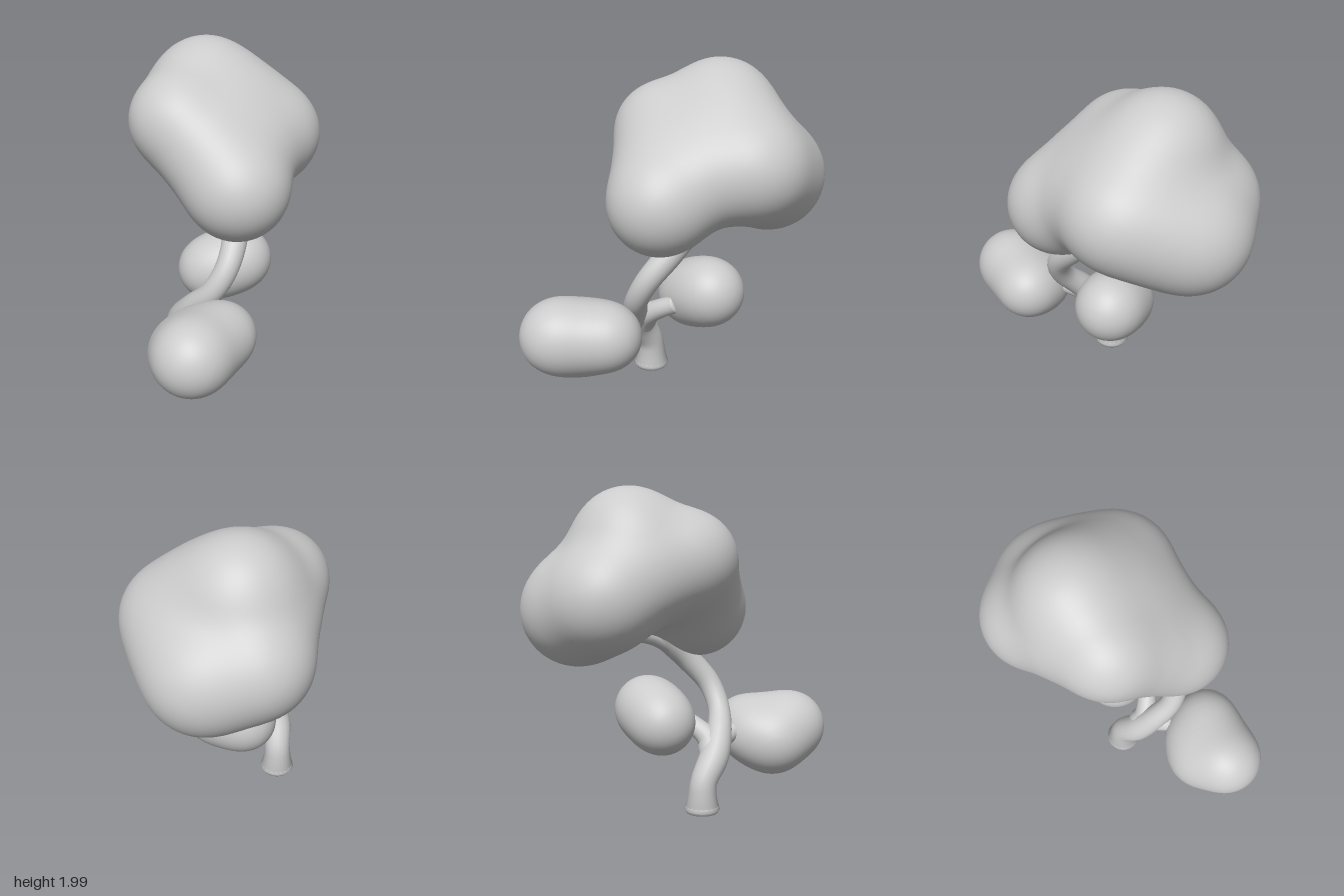
import * as THREE from 'three';
import { mergeVertices } from 'three/addons/utils/BufferGeometryUtils.js';

const material = new THREE.MeshStandardMaterial({ color: 0xcccccc });

// Foliage: a ball shrink-wrapped from outside onto a soft union of lobes [x, y, z, r]
function foliage(name, lobes, centre, softness) {
  let geo = new THREE.IcosahedronGeometry(1, 24);
  geo.deleteAttribute('uv');
  geo.deleteAttribute('normal');
  geo = mergeVertices(geo, 1e-4);
  const c = new THREE.Vector3(...centre);
  const distance = (p) => {
    let sum = 0;
    for (const [x, y, z, r] of lobes) {
      sum += Math.exp(-softness * (Math.hypot(p.x - x, p.y - y, p.z - z) - r));
    }
    return -Math.log(sum) / softness;
  };
  const pos = geo.attributes.position;
  const dir = new THREE.Vector3();
  const p = new THREE.Vector3();
  for (let i = 0; i < pos.count; i++) {
    dir.fromBufferAttribute(pos, i).normalize();
    let t = 1.3;
    for (let s = 0; s < 80; s++) {
      const d = distance(p.copy(c).addScaledVector(dir, t));
      if (d < 0.0005) break;
      t = Math.max(0.02, t - d);
    }
    p.copy(c).addScaledVector(dir, t);
    pos.setXYZ(i, p.x, p.y, p.z);
  }
  geo.computeVertexNormals();
  const mesh = new THREE.Mesh(geo, material);
  mesh.name = name;
  return mesh;
}

// Branch: a tube through points [x, y, z, radius], closed by a flattened round end
function branch(name, points) {
  const group = new THREE.Group();
  group.name = name;
  const curve = new THREE.CatmullRomCurve3(points.map(([x, y, z]) => new THREE.Vector3(x, y, z)));
  // the radius follows its own curve, sampled at the same parameter
  const radii = new THREE.CatmullRomCurve3(points.map((q) => new THREE.Vector3(q[3], 0, 0)));
  const steps = 40, sides = 20;
  const geo = new THREE.TubeGeometry(curve, steps, 1, sides);
  const pos = geo.attributes.position;
  const v = new THREE.Vector3();
  for (let i = 0; i <= steps; i++) {
    const u = curve.getUtoTmapping(i / steps);
    const centre = curve.getPoint(u);
    const r = radii.getPoint(u).x;
    for (let j = 0; j <= sides; j++) {
      const k = i * (sides + 1) + j;
      v.fromBufferAttribute(pos, k).sub(centre).multiplyScalar(r).add(centre);
      pos.setXYZ(k, v.x, v.y, v.z);
    }
  }
  const tube = new THREE.Mesh(geo, material);
  tube.name = name + 'Tube';
  group.add(tube);

  const r = points[points.length - 1][3];
  const end = new THREE.Mesh(new THREE.SphereGeometry(r, 20, 12), material);
  end.name = name + 'End';
  end.scale.y = 0.4;
  end.quaternion.setFromUnitVectors(new THREE.Vector3(0, 1, 0), curve.getTangent(1));
  end.position.copy(curve.getPoint(1));
  group.add(end);
  return group;
}

export function createModel() {
  const model = new THREE.Group();
  model.name = 'tree';

  // Trunk bending forward, then sweeping back into the crown
  model.add(branch('trunk', [
    [-0.083, 0.035, 0.11, 0.11],
    [-0.085, 0.10, 0.11, 0.092],
    [-0.078, 0.20, 0.12, 0.083],
    [-0.025, 0.34, 0.19, 0.092],
    [0.07, 0.47, 0.235, 0.08],
    [0.20, 0.61, 0.25, 0.07],
    [0.27, 0.76, 0.195, 0.072],
    [0.265, 0.92, 0.055, 0.077],
    [0.20, 1.06, -0.09, 0.075],
    [0.12, 1.22, -0.22, 0.06],
  ]));

  // Rounded foot
  const foot = new THREE.Mesh(new THREE.LatheGeometry(
    [[0, 0], [0.07, 0.004], [0.098, 0.013], [0.11, 0.035], [0.104, 0.055]]
      .map(([x, y]) => new THREE.Vector2(x, y)), 24), material);
  foot.name = 'foot';
  foot.position.set(-0.083, 0, 0.11);
  model.add(foot);

  // Side branches
  model.add(branch('rearBranch', [
    [-0.03, 0.32, 0.18, 0.07],
    [0.05, 0.43, 0.17, 0.07],
    [0.12, 0.50, 0.10, 0.06],
    [0.18, 0.55, 0.015, 0.055],
  ]));
  model.add(branch('frontBranch', [
    [0.05, 0.43, 0.22, 0.07],
    [0.17, 0.47, 0.36, 0.05],
    [0.27, 0.54, 0.50, 0.03],
    [0.285, 0.665, 0.565, 0.015],
  ]));
  model.add(branch('crownBranch', [
    [0.23, 0.99, -0.01, 0.065],
    [0.16, 1.07, -0.16, 0.055],
    [0.06, 1.12, -0.34, 0.05],
    [-0.02, 1.18, -0.48, 0.04],
  ]));

  // Large crown: main lobes, then fillers softening the valleys between them
  model.add(foliage('crown', [
    [0.30, 1.235, 0.13, 0.295],
    [-0.13, 1.57, 0.03, 0.265],
    [-0.10, 1.67, -0.33, 0.31],
    [-0.30, 1.34, -0.48, 0.295],
    [-0.05, 1.26, -0.64, 0.32],
    [0.31, 1.41, -0.42, 0.28],
    [0.09, 1.41, 0.07, 0.25],
    [0.28, 1.38, -0.15, 0.23],
    [0.11, 1.56, -0.36, 0.26],
    [0.14, 1.34, -0.54, 0.27],
    [-0.22, 1.47, -0.22, 0.24],
    [0.10, 1.50, -0.15, 0.24],
  ], [0.0, 1.42, -0.25], 14));

  // Low foliage clumps
  model.add(foliage('frontClump', [
    [0.28, 0.465, 0.735, 0.22],
    [0.35, 0.46, 0.44, 0.185],
    [0.18, 0.385, 0.60, 0.205],
    [0.32, 0.46, 0.58, 0.17],
    [0.22, 0.42, 0.47, 0.16],
  ], [0.27, 0.44, 0.61], 22));
  model.add(foliage('rearClump', [
    [0.02, 0.55, -0.12, 0.19],
    [0.195, 0.62, -0.21, 0.195],
    [0.11, 0.59, -0.16, 0.17],
  ], [0.11, 0.59, -0.17], 22));

  return model;
}
